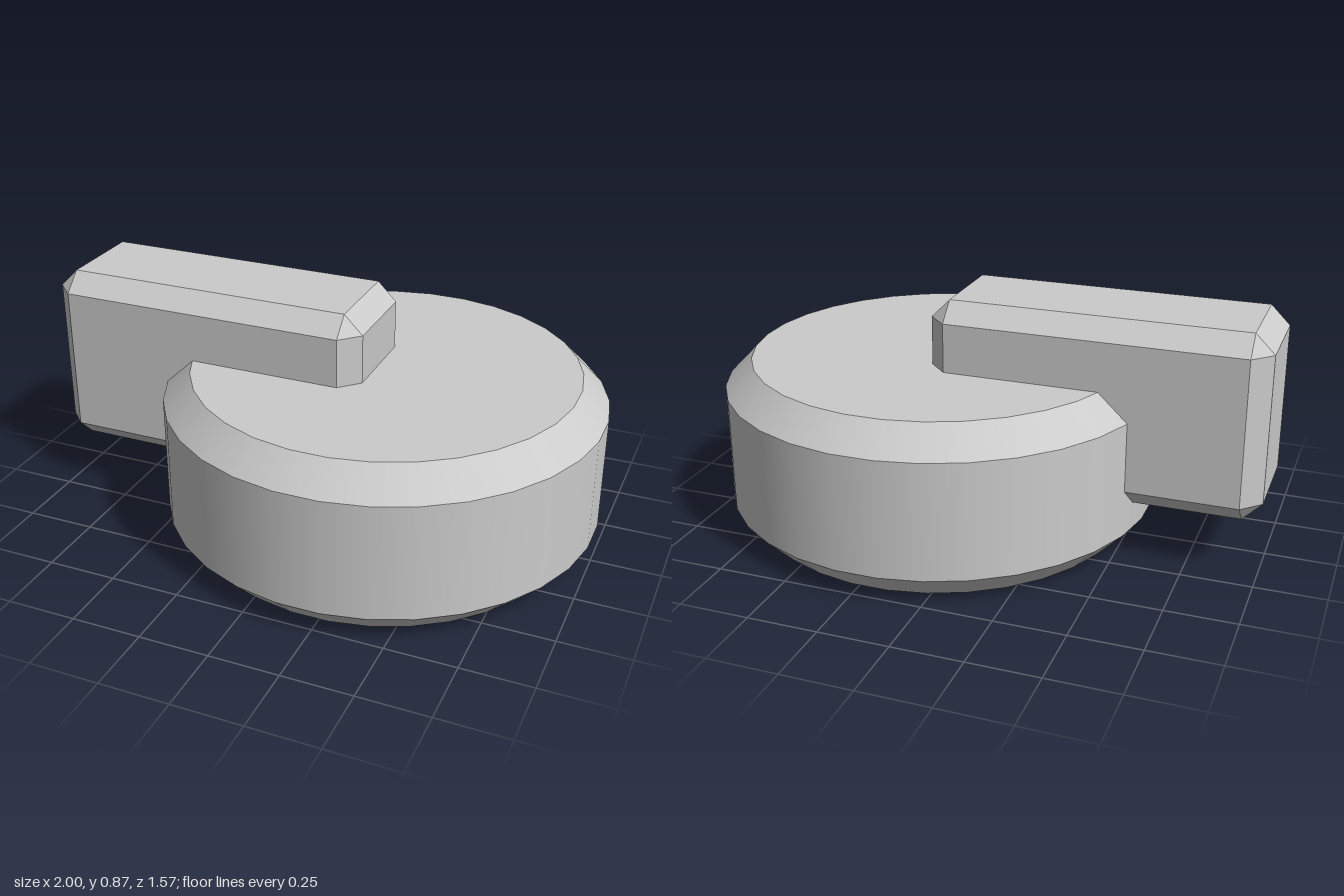
import * as THREE from 'three';
import { ConvexGeometry } from 'three/addons/geometries/ConvexGeometry.js';

const SIDES = 32;
const material = new THREE.MeshStandardMaterial({ color: 0xcccccc });

function addMesh(parent, name, geometry) {
  const mesh = new THREE.Mesh(geometry, material);
  mesh.name = name;
  parent.add(mesh);
  return mesh;
}

// Box with every edge chamfered by c; the corners become small triangles
function chamferedBox(w, h, d, c) {
  const half = [w / 2, h / 2, d / 2];
  const points = [];
  for (const sx of [-1, 1]) for (const sy of [-1, 1]) for (const sz of [-1, 1]) {
    for (let face = 0; face < 3; face++) {
      const [x, y, z] = half.map((v, axis) => (axis === face ? v : v - c));
      points.push(new THREE.Vector3(sx * x, sy * y, sz * z));
    }
  }
  return new ConvexGeometry(points);
}

// Round body: smooth bands with sharp edges between them, closed by two flat caps
function createDisc() {
  const disc = new THREE.Group();
  disc.name = 'disc';
  const outer = 0.788, inner = 0.69;
  const profile = [[inner, 0], [outer, 0.1], [outer, 0.52], [inner, 0.62]];
  const names = ['lowerBevel', 'rim', 'upperBevel'];
  names.forEach((name, i) => {
    const [r0, y0] = profile[i];
    const [r1, y1] = profile[i + 1];
    const band = new THREE.CylinderGeometry(r1, r0, y1 - y0, SIDES, 1, true);
    addMesh(disc, name, band).position.y = (y0 + y1) / 2;
  });
  addMesh(disc, 'topFace', new THREE.CircleGeometry(inner, SIDES).rotateX(-Math.PI / 2)).position.y = 0.62;
  addMesh(disc, 'bottomFace', new THREE.CircleGeometry(inner, SIDES).rotateX(Math.PI / 2));
  disc.rotation.y = Math.PI / SIDES;
  disc.position.x = 0.215;
  return disc;
}

export function createModel() {
  const model = new THREE.Group();
  model.name = 'discWithArm';
  model.add(createDisc());

  // Chamfered arm sunk into the disc and overhanging on -x
  const arm = addMesh(model, 'arm', chamferedBox(1.19, 0.665, 0.46, 0.068));
  arm.position.set(-0.405, 0.5325, 0.003);
  return model;
}
